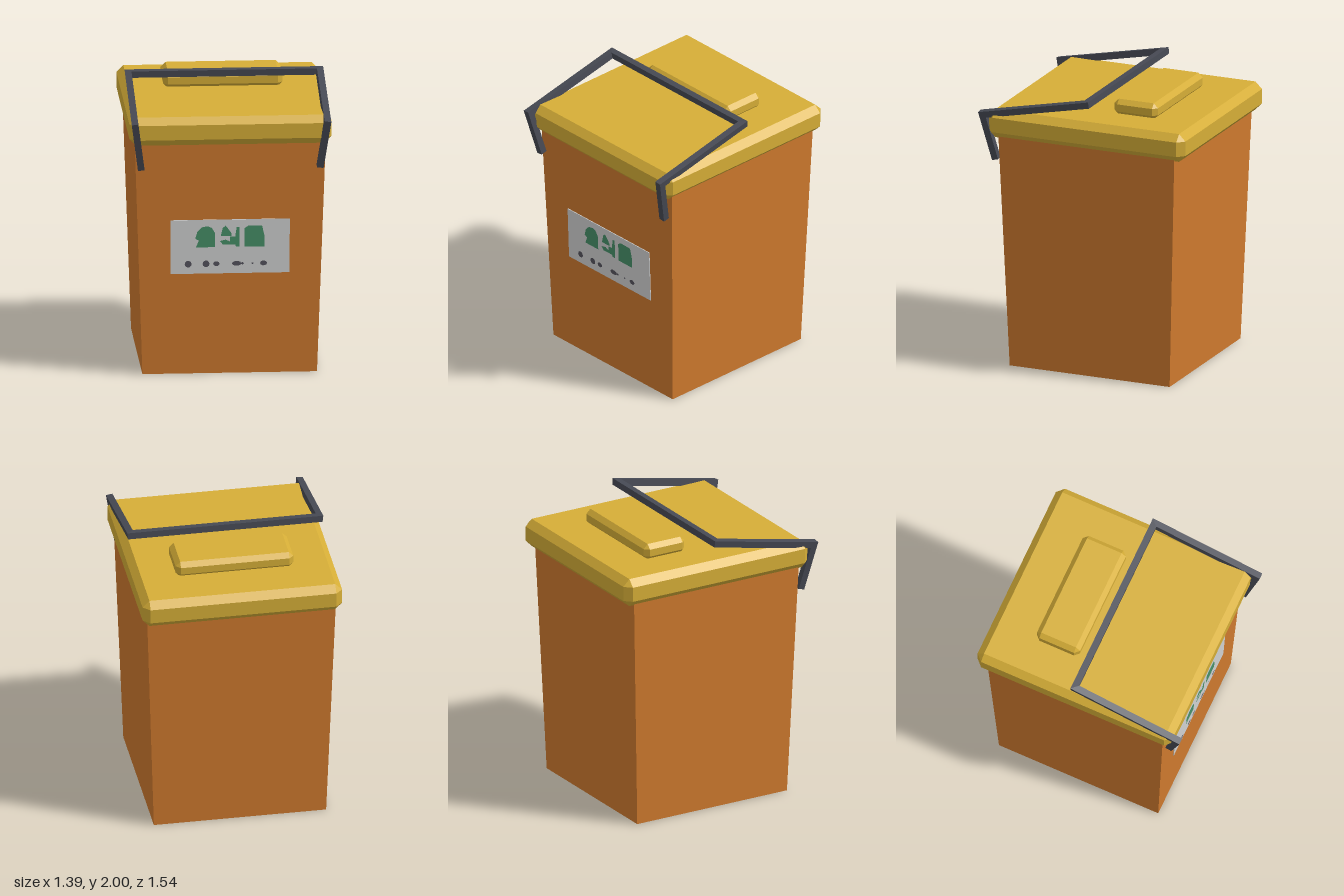
import * as THREE from 'three';
import { ConvexGeometry } from 'three/addons/geometries/ConvexGeometry.js';

const mat = (name, color) => new THREE.MeshStandardMaterial({ name, color });

// Box with every edge and corner cut off at 45 degrees
function chamferedBox(w, h, d, c) {
  const pts = [];
  for (const sx of [-1, 1]) for (const sy of [-1, 1]) for (const sz of [-1, 1]) {
    for (let axis = 0; axis < 3; axis++) {
      const p = [w / 2, h / 2, d / 2].map((v, i) => (i === axis ? v : v - c));
      pts.push(new THREE.Vector3(p[0] * sx, p[1] * sy, p[2] * sz));
    }
  }
  return new ConvexGeometry(pts);
}

// Square bar swept along straight segments with mitred corners
function mitredBar(path, size) {
  const dirs = path.slice(1).map((p, i) => p.clone().sub(path[i]).normalize());
  const side = new THREE.Vector3(1, 0, 0).addScaledVector(dirs[0], -dirs[0].x).normalize();
  const up = dirs[0].clone().cross(side);
  const h = size / 2;
  let ring = [[-h, -h], [h, -h], [h, h], [-h, h]].map(([a, b]) =>
    path[0].clone().addScaledVector(side, a).addScaledVector(up, b));
  const pos = [];
  const quad = (a, b, c, d) => [a, b, c, a, c, d].forEach((v) => pos.push(v.x, v.y, v.z));
  quad(ring[3], ring[2], ring[1], ring[0]);
  dirs.forEach((d, i) => {
    const n = d.clone().add(dirs[i + 1] ?? d).normalize();
    const next = ring.map((v) =>
      v.clone().addScaledVector(d, path[i + 1].clone().sub(v).dot(n) / d.dot(n)));
    for (let k = 0; k < 4; k++) {
      const m = (k + 1) % 4;
      quad(ring[k], ring[m], next[m], next[k]);
    }
    ring = next;
  });
  quad(...ring);
  const geo = new THREE.BufferGeometry();
  geo.setAttribute('position', new THREE.Float32BufferAttribute(pos, 3));
  geo.computeVertexNormals();
  return geo;
}

const polygon = (points) =>
  new THREE.ShapeGeometry(new THREE.Shape(points.map(([x, y]) => new THREE.Vector2(x, y))));

export function createModel() {
  const model = new THREE.Group();
  const orange = mat('body orange', 0xd07a2e);
  const yellow = mat('lid yellow', 0xd6ae37);
  const charcoal = mat('handle charcoal', 0x474a54);
  const white = mat('label white', 0xd3d4d4);
  const green = mat('label green', 0x48926a);
  const gray = mat('label gray', 0x56555f);

  const add = (name, geo, material, x = 0, y = 0, z = 0, parent = model) => {
    const mesh = new THREE.Mesh(geo, material);
    mesh.name = name;
    mesh.position.set(x, y, z);
    parent.add(mesh);
    return mesh;
  };

  // Body: box that widens towards the top
  const H = 1.67;
  const bodyGeo = new THREE.BoxGeometry(1.2, H, 1.2);
  const p = bodyGeo.attributes.position;
  for (let i = 0; i < p.count; i++) {
    if (p.getY(i) > 0) p.setXYZ(i, p.getX(i) * 1.095, p.getY(i), p.getZ(i) * 1.1);
  }
  bodyGeo.computeVertexNormals();
  add('body', bodyGeo, orange, 0, H / 2, -0.03);

  // Lid and its raised grip
  add('lid', chamferedBox(1.39, 0.2, 1.475, 0.048), yellow, 0, 1.747, -0.032);
  add('lidGrip', chamferedBox(0.82, 0.115, 0.325, 0.032), yellow, 0, 1.892, -0.282);

  // Carrying handle: two bent arms joined by a bar
  const arm = [[0.615, 1.483, 0.664], [0.66, 1.808, 0.742], [0.657, 1.973, -0.033]];
  const path = [
    ...arm.map(([x, y, z]) => new THREE.Vector3(-x, y, z)),
    ...arm.map(([x, y, z]) => new THREE.Vector3(x, y, z)).reverse(),
  ];
  add('handle', mitredBar(path, 0.046), charcoal);

  // Label leaning with the front wall; local y is measured from its centre
  const label = new THREE.Group();
  label.name = 'label';
  label.position.set(0, 0.908, 0.605);
  label.rotation.x = Math.atan(0.06 / H);
  model.add(label);
  add('labelPlate', new THREE.BoxGeometry(0.82, 0.385, 0.006), white, 0, 0, 0, label);

  // Three green pictograms
  const marks = [
    [[-0.235, -0.003], [-0.105, -0.003], [-0.105, 0.1], [-0.125, 0.135], [-0.155, 0.148],
      [-0.195, 0.14], [-0.225, 0.11], [-0.24, 0.06], [-0.215, 0.045]],
    [[-0.065, 0.075], [0.01, 0.075], [0.01, 0.095], [-0.03, 0.15], [-0.05, 0.135]],
    [[-0.07, 0.04], [-0.03, 0.05], [0, 0.035], [0, 0.07], [0.035, 0.07], [0.045, 0.14],
      [0.065, 0.14], [0.065, 0], [0.04, 0], [0.035, 0.015], [-0.05, 0.015]],
    [[0.1, -0.003], [0.235, -0.003], [0.235, 0.08], [0.22, 0.145], [0.125, 0.148], [0.1, 0.13]],
  ];
  marks.forEach((m) => add('pictogram', polygon(m), green, 0, 0, 0.006, label));

  // Row of small gray spots: x, half width, half height
  const spots = [[-0.288, 0.024, 0.024], [-0.165, 0.024, 0.024], [-0.094, 0.022, 0.018],
    [0.045, 0.032, 0.018], [0.085, 0.01, 0.008], [0.155, 0.008, 0.006], [0.23, 0.024, 0.018]];
  for (const [x, rx, ry] of spots) {
    add('spot', new THREE.CircleGeometry(1, 10), gray, x, -0.122, 0.006, label).scale.set(rx, ry, 1);
  }

  return model;
}
